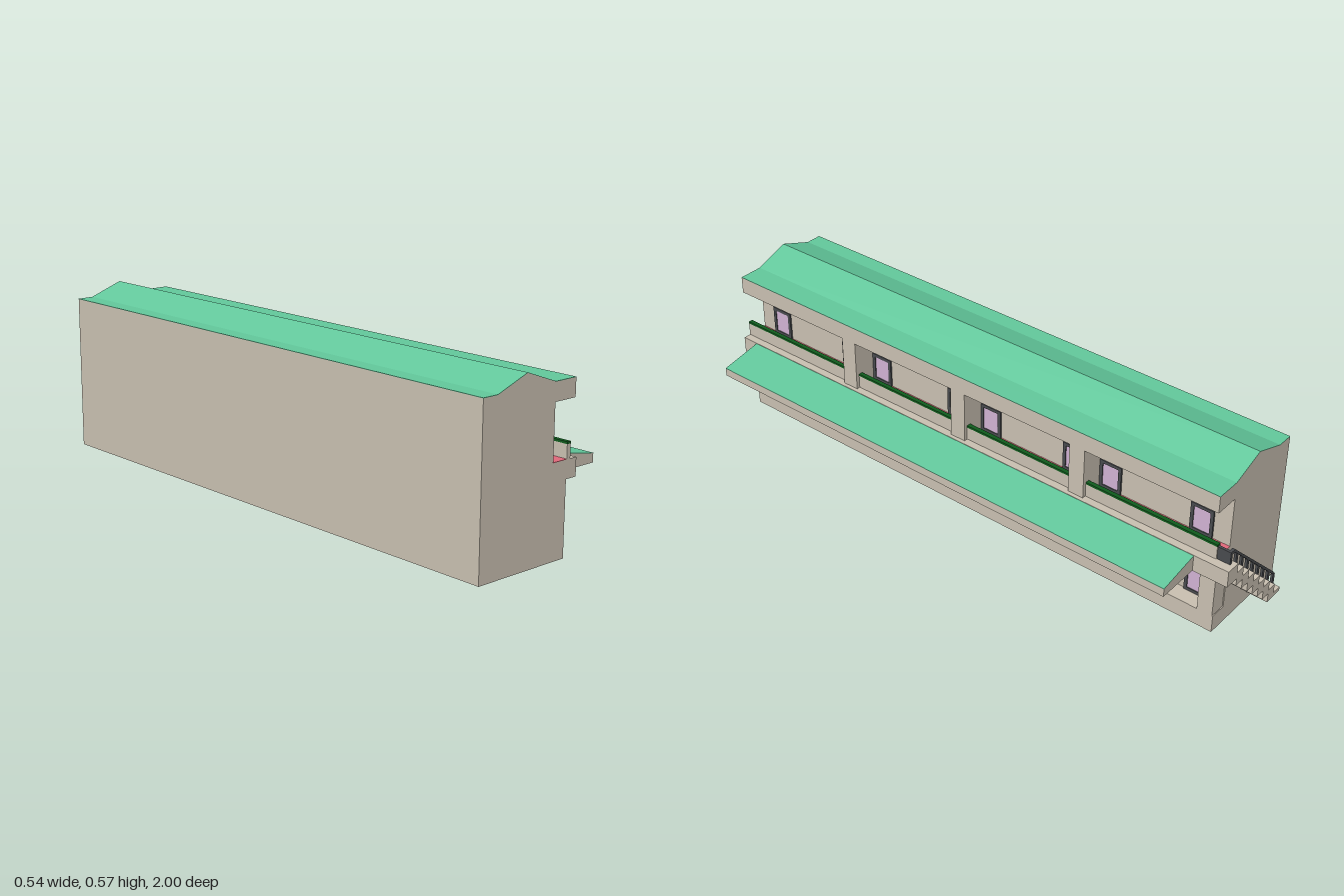
import * as THREE from 'three';

const mat = (color) => new THREE.MeshStandardMaterial({ color, flatShading: true });

export function createModel() {
  const model = new THREE.Group();
  const wall = mat(0xc8bfb0), roofGreen = mat(0x62c79b), railGreen = mat(0x0f5a1c);
  const dark = mat(0x484a4e), glass = mat(0xd0b2d2), floorPink = mat(0xe0687a);

  const add = (name, geometry, material, parent = model) => {
    const mesh = new THREE.Mesh(geometry, material);
    mesh.name = name;
    parent.add(mesh);
    return mesh;
  };
  // Box given by its limits on each axis
  const box = (name, x0, x1, y0, y1, z0, z1, material, parent) => {
    const g = new THREE.BoxGeometry(x1 - x0, y1 - y0, z1 - z0);
    g.translate((x0 + x1) / 2, (y0 + y1) / 2, (z0 + z1) / 2);
    return add(name, g, material, parent);
  };
  // Cross-section in x, y pushed along z
  const prism = (name, points, z0, z1, material, parent) => {
    const shape = new THREE.Shape(points.map(([x, y]) => new THREE.Vector2(x, y)));
    const g = new THREE.ExtrudeGeometry(shape, { depth: z1 - z0, bevelEnabled: false });
    g.translate(0, 0, z0);
    return add(name, g, material, parent);
  };
  // Thin covering laid along the top of a profile
  const covering = (name, line, z0, z1) => {
    const top = line.map(([x, y]) => [x, y + 0.0015]);
    prism(name, [...line, ...top.reverse()], z0, z1, roofGreen);
  };

  const back = -0.94, front = 1;
  const wallX = 0.022, outerX = 0.08, eaveX = 0.108, slabX = 0.122;

  // Main block with the roof overhanging the gallery
  const roofLine = [[-0.272, 0.53], [-0.215, 0.53], [-0.097, 0.573], [wallX, 0.53], [eaveX, 0.53]];
  prism('mainBlock', [
    [-0.272, 0], [wallX, 0], [wallX, 0.472], [eaveX, 0.472], ...[...roofLine].reverse(),
  ], back, front, wall);
  covering('roofCovering', roofLine, back, front);

  // Ground floor plinth and gallery slab
  box('plinth', wallX, outerX, 0, 0.062, back, front, wall);
  box('gallerySlab', wallX, slabX, 0.237, 0.295, back, front, wall);
  box('galleryFloor', wallX, outerX, 0.295, 0.2965, back, front, floorPink);

  // Parapet with green handrail
  box('parapet', outerX, 0.095, 0.295, 0.34, back, front, wall);
  box('handrail', outerX, 0.095, 0.34, 0.347, back, front, railGreen);

  // Sloping canopy over the ground floor
  prism('canopy', [[slabX, 0.237], [0.272, 0.237], [0.272, 0.265], [slabX, 0.292]], -0.88, 0.94, wall);
  covering('canopyCovering', [[slabX, 0.292], [0.272, 0.265]], -0.88, 0.94);

  // Piers: five on the ground floor, three on the gallery
  const bay = 0.47, pier = 0.057;
  for (let i = 0; i < 5; i++) {
    const z1 = front - i * bay, z0 = Math.max(z1 - pier, back);
    const end = i === 4 ? back + pier : z1;
    box('lowerPier', wallX, outerX, 0.062, 0.237, z0, end, wall);
    if (i > 0 && i < 4) box('upperPier', wallX, eaveX, 0.295, 0.472, z0, z1, wall);
  }

  // Framed opening, its pane set slightly behind the frame
  const opening = (name, z, y) => {
    const g = new THREE.Group();
    g.name = name;
    model.add(g);
    const w = 0.04, h = 0.102, t = 0.011, x0 = wallX, x1 = wallX + 0.006;
    for (const s of [-1, 1]) {
      const a = z + s * w, b = z + s * (w - t);
      box('jamb', x0, x1, y, y + h, Math.min(a, b), Math.max(a, b), dark, g);
    }
    box('sill', x0, x1, y, y + t, z - w + t, z + w - t, dark, g);
    box('lintel', x0, x1, y + h - t, y + h, z - w + t, z + w - t, dark, g);
    box('pane', x0, x1 - 0.003, y + t, y + h - t, z - w + t, z + w - t, glass, g);
  };
  // Two openings at the ends of each bay on both floors
  for (let i = 0; i < 4; i++) {
    const high = front - pier - i * bay, low = front - (i + 1) * bay;
    const places = i === 3 ? [high - 0.042, -0.84] : [high - 0.042, low + 0.042];
    for (const z of places) {
      opening('lowerWindow', z, 0.062);
      opening('upperWindow', z, 0.2965);
    }
  }

  // Outside stair along the rear wall
  const stair = new THREE.Group();
  stair.name = 'rearStair';
  model.add(stair);
  const landingX = 0.07, run = 0.0356, rise = 0.035, steps = 8;
  box('landing', landingX, slabX, 0.237, 0.295, -1, back, wall, stair);
  for (let i = 0; i < steps; i++) {
    const x1 = landingX - i * run, top = 0.26 - i * rise;
    box('step', x1 - run, x1, Math.max(0, top - 0.05), top, -1, back, wall, stair);
    box('post', x1 - run * 0.65, x1 - run * 0.35, top, top + 0.056, -0.984, -0.976, dark, stair);
  }
  // Sloping stair rail, level over the landing, with a return to the wall
  const lowX = -0.19, lowY = 0.295 - ((landingX - lowX) / run) * rise;
  prism('stairRail', [
    [lowX, lowY + 0.034], [landingX, 0.329], [0.092, 0.329],
    [0.092, 0.34], [landingX, 0.34], [lowX, lowY + 0.045],
  ], -0.985, -0.975, dark, stair);
  box('landingRail', 0.083, 0.092, 0.295, 0.34, -0.985, back, dark, stair);

  return model;
}
